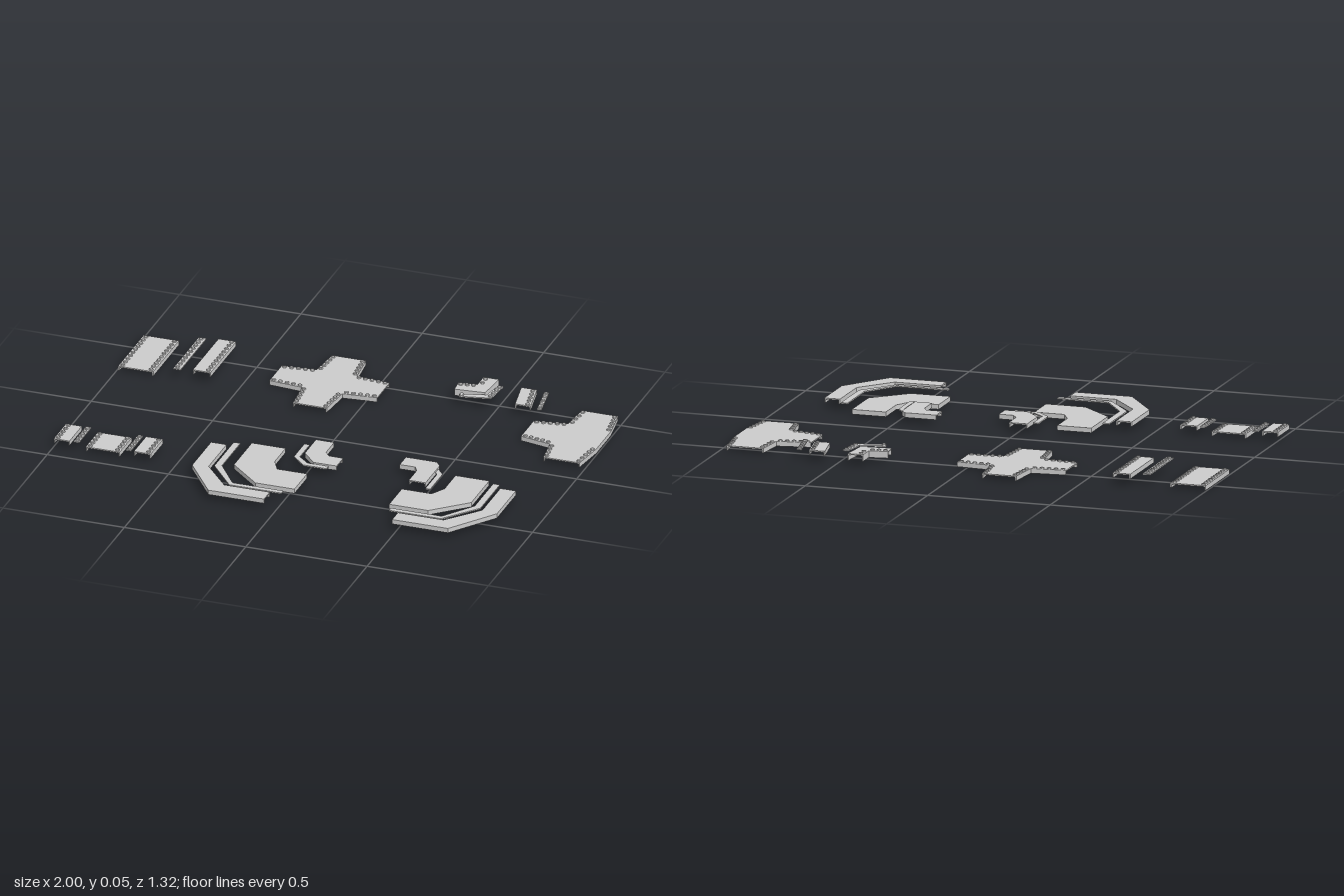
import * as THREE from 'three';
import { mergeGeometries } from 'three/addons/utils/BufferGeometryUtils.js';

const grey = new THREE.MeshStandardMaterial({ color: 0xcccccc, flatShading: true });
const THICK = 0.005;

// Calls fn for each chosen edge with its start, direction, inward normal and length
function eachEdge(pts, edges, fn) {
  let area = 0;
  pts.forEach((p, i) => {
    const q = pts[(i + 1) % pts.length];
    area += p[0] * q[1] - q[0] * p[1];
  });
  const s = Math.sign(area);
  edges.forEach((i) => {
    const a = pts[i], b = pts[(i + 1) % pts.length];
    const len = Math.hypot(b[0] - a[0], b[1] - a[1]);
    const dx = (b[0] - a[0]) / len, dz = (b[1] - a[1]) / len;
    fn(a, [dx, dz], [-dz * s, dx * s], len);
  });
}

// A flat plate with skirts hanging from some edges and rows of rivets along others
function panel(name, pts, top, { skirts = [], drop = 0.014, rivets = [], inset = 0.014 } = {}) {
  const group = new THREE.Group();
  group.name = name;
  const shape = new THREE.Shape(pts.map((p) => new THREE.Vector2(p[0], p[1])));
  const plateGeo = new THREE.ExtrudeGeometry(shape, { depth: THICK, bevelEnabled: false });
  plateGeo.rotateX(Math.PI / 2).translate(0, top, 0);
  const plate = new THREE.Mesh(plateGeo, grey);
  plate.name = 'plate';
  group.add(plate);

  const walls = [], heads = [];
  eachEdge(pts, skirts, (a, d, n, len) => {
    const g = new THREE.BoxGeometry(len, drop, 0.005);
    g.rotateY(-Math.atan2(d[1], d[0]));
    g.translate(a[0] + d[0] * len / 2 + n[0] * 0.0025, top - THICK - drop / 2,
      a[1] + d[1] * len / 2 + n[1] * 0.0025);
    walls.push(g);
  });
  eachEdge(pts, rivets, (a, d, n, len) => {
    const count = Math.max(2, Math.round(len / 0.029));
    for (let i = 0; i < count; i++) {
      const t = (i + 0.5) * len / count;
      const g = new THREE.CylinderGeometry(0.007, 0.009, 0.005, 8);
      g.translate(a[0] + d[0] * t + n[0] * inset, top + 0.0025, a[1] + d[1] * t + n[1] * inset);
      heads.push(g);
    }
  });
  for (const [part, list] of [['skirt', walls], ['rivets', heads]]) {
    if (!list.length) continue;
    const m = new THREE.Mesh(mergeGeometries(list), grey);
    m.name = part;
    group.add(m);
  }
  return group;
}

// Edges of a rectangle: 0 back, 1 right, 2 front, 3 left
const rect = (x0, x1, z0, z1) => [[x0, z0], [x1, z0], [x1, z1], [x0, z1]];
const mirrorX = (pts, sum) => pts.map(([x, z]) => [sum - x, z]);

export function createModel() {
  const model = new THREE.Group();
  const add = (...args) => model.add(panel(...args));

  // Long straight set
  add('longFloor', rect(-0.995, -0.85, -0.58, -0.29), 0.021, { skirts: [1, 3], rivets: [1, 3] });
  add('longTrim', rect(-0.768, -0.737, -0.58, -0.29), 0.05, { rivets: [3] });
  add('longEdge', rect(-0.693, -0.62, -0.597, -0.307), 0.048, { skirts: [1, 3], rivets: [1] });

  // Short straight set
  add('shortFloor', rect(-0.87, -0.73, 0.283, 0.42), 0.021, { skirts: [1, 3], rivets: [1, 3] });
  add('shortEdgeRight', rect(-1, -0.935, 0.286, 0.425), 0.037, { skirts: [1, 3], rivets: [3] });
  add('shortEdgeLeft', rect(-0.67, -0.6, 0.286, 0.425), 0.037, { skirts: [1, 3], rivets: [1] });
  add('shortTrimRight', rect(-0.92, -0.897, 0.283, 0.42), 0.037, { rivets: [3], inset: 0.0115 });
  add('shortTrimLeft', rect(-0.704, -0.683, 0.283, 0.42), 0.037, { rivets: [3], inset: 0.0105 });

  // Crossing: one arm outline turned four times
  const cross = [];
  for (let k = 0; k < 4; k++) {
    const c = [1, 0, -1, 0][k], s = [0, 1, 0, -1][k];
    for (const [x, z] of [[-0.083, -0.083], [-0.07, -0.222], [0.07, -0.222]]) {
      cross.push([-0.179 + x * c - z * s, -0.441 + x * s + z * c]);
    }
  }
  const crossSides = [0, 2, 3, 5, 6, 8, 9, 11];
  add('crossing', cross, 0.021, { skirts: crossSides, rivets: crossSides, inset: 0.011 });

  // T junction
  const tee = [[0.826, -0.537], [0.976, -0.537], [0.995, -0.4], [0.995, -0.24], [0.976, -0.1],
    [0.826, -0.1], [0.81, -0.217], [0.682, -0.243], [0.682, -0.388], [0.815, -0.41]];
  const teeSides = [1, 2, 3, 5, 6, 8, 9];
  add('junction', tee, 0.021, { skirts: teeSides, rivets: [1, 3, 5, 6, 8, 9], inset: 0.011 });

  // Small edge pieces for the junctions
  add('innerCorner', [[0.388, -0.628], [0.452, -0.628], [0.441, -0.5], [0.318, -0.489],
    [0.313, -0.548], [0.388, -0.559]], 0.05, { skirts: [1, 2, 4, 5], drop: 0.022, rivets: [4, 5] });
  add('innerCornerTrim', [[0.468, -0.58], [0.489, -0.575], [0.479, -0.463], [0.356, -0.436],
    [0.35, -0.458], [0.452, -0.484]], 0.05, { rivets: [1, 3], inset: 0.01 });
  add('taperedEdge', [[0.553, -0.602], [0.618, -0.602], [0.644, -0.457], [0.58, -0.457]], 0.045,
    { skirts: [1, 3], rivets: [1] });
  add('taperedTrim', [[0.65, -0.596], [0.67, -0.596], [0.693, -0.446], [0.676, -0.44]], 0.045,
    { rivets: [3], inset: 0.01 });

  // Bend sets: floor, outer edge and outer trim, mirrored to both sides
  const floor = [[-0.275, 0.174], [-0.136, 0.174], [-0.136, 0.297], [-0.104, 0.356],
    [0.019, 0.356], [0.019, 0.5], [-0.142, 0.5], [-0.275, 0.377]];
  const outer = [[-0.414, 0.254], [-0.35, 0.254], [-0.35, 0.457], [-0.238, 0.59],
    [-0.05, 0.59], [-0.05, 0.655], [-0.28, 0.655], [-0.414, 0.468]];
  const trim = [[-0.334, 0.217], [-0.307, 0.217], [-0.307, 0.425], [-0.217, 0.553],
    [-0.008, 0.553], [-0.008, 0.575], [-0.222, 0.575], [-0.334, 0.436]];
  const bendSides = [1, 2, 3, 5, 6, 7];
  for (const side of ['Right', 'Left']) {
    const place = (pts) => (side === 'Left' ? mirrorX(pts, 0.428) : pts);
    add('bendFloor' + side, place(floor), 0.024, { skirts: [0, 4, ...bendSides] });
    add('bendOuterEdge' + side, place(outer), 0.041, { skirts: bendSides });
    add('bendTrim' + side, place(trim), 0.037);
  }

  // Inner edges and trims of the bends
  add('bendInnerEdgeRight', [[-0.04, 0.094], [0.035, 0.094], [0.035, 0.185], [0.056, 0.212],
    [0.115, 0.212], [0.115, 0.286], [0.02, 0.286], [-0.04, 0.22]], 0.041, { skirts: bendSides });
  add('bendInnerTrimRight', [[-0.072, 0.137], [-0.05, 0.137], [-0.05, 0.249], [-0.003, 0.291],
    [0.083, 0.291], [0.083, 0.313], [-0.013, 0.313], [-0.072, 0.254]], 0.037);
  add('bendInnerEdgeLeft', [[0.34, 0.12], [0.468, 0.12], [0.489, 0.147], [0.489, 0.307],
    [0.42, 0.307], [0.42, 0.217], [0.404, 0.19], [0.34, 0.19]], 0.041, { skirts: [0, 1, 2, 4, 5, 6] });
  add('bendInnerTrimLeft', [[0.468, 0.135], [0.52, 0.2], [0.52, 0.34], [0.5, 0.34],
    [0.5, 0.21], [0.468, 0.16]], 0.034);

  // Stand the lowest skirt on the ground
  const box = new THREE.Box3().setFromObject(model);
  model.children.forEach((c) => { c.position.y -= box.min.y; });
  return model;
}
